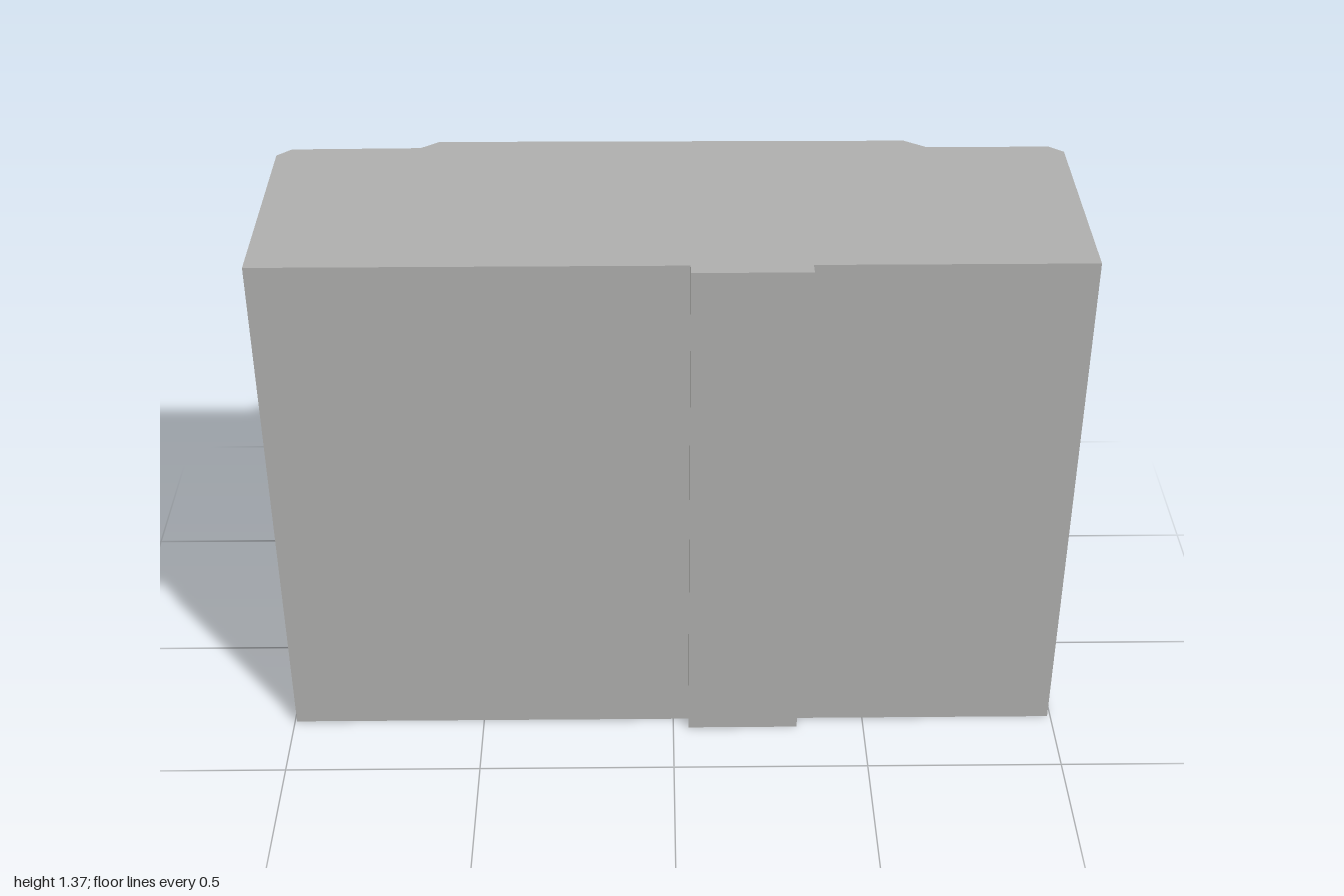
import * as THREE from 'three';

const HEIGHT = 1.37, GLASS_LOW = 0.13, GLASS_HIGH = 1.25, ROWS = 18, BAR = 0.006;

// Rear outline, from the +x flank round to the -x flank, as [x, z]
const REAR = [
  [0.995, -0.27], [0.96, -0.3], [0.65, -0.3], [0.595, -0.338],
  [-0.59, -0.343], [-0.635, -0.308], [-0.96, -0.304], [-0.995, -0.27],
];
// Front outline with the raised vertical pier
const FRONT = [
  [-0.995, 0.31], [0.04, 0.31], [0.04, 0.345], [0.325, 0.345], [0.325, 0.31], [0.992, 0.31],
];
// Window wall path and the number of bays on each straight run
const GLASS_PATH = [[0.994, -0.125], ...REAR, [-0.995, -0.125]];
const BAYS = [2, 1, 3, 1, 4, 1, 4, 1, 2];

export function createModel() {
  const model = new THREE.Group();
  model.name = 'building';

  const concrete = new THREE.MeshStandardMaterial({ color: 0xb0b0ae });
  concrete.name = 'concrete grey';
  const glass = new THREE.MeshStandardMaterial({ color: 0x4f4f4f });
  glass.name = 'dark glass';
  const frame = new THREE.MeshStandardMaterial({ color: 0x181818 });
  frame.name = 'black frame';

  // Solid block extruded upward from its plan
  const plan = new THREE.Shape([...FRONT, ...REAR].map(([x, z]) => new THREE.Vector2(x, -z)));
  const bodyGeometry = new THREE.ExtrudeGeometry(plan, { depth: HEIGHT, bevelEnabled: false });
  bodyGeometry.rotateX(-Math.PI / 2);
  const body = new THREE.Mesh(bodyGeometry, concrete);
  body.name = 'buildingBlock';
  model.add(body);

  // Window wall: one group per straight run, with local x along the wall
  const wall = new THREE.Group();
  wall.name = 'windowWall';
  model.add(wall);
  const addBox = (parent, name, material, w, h, d, x, y) => {
    const mesh = new THREE.Mesh(new THREE.BoxGeometry(w, h, d), material);
    mesh.name = name;
    mesh.position.set(x, y, 0);
    parent.add(mesh);
  };
  const glassHeight = GLASS_HIGH - GLASS_LOW;
  const middle = (GLASS_HIGH + GLASS_LOW) / 2;

  BAYS.forEach((bays, i) => {
    const [ax, az] = GLASS_PATH[i], [bx, bz] = GLASS_PATH[i + 1];
    const length = Math.hypot(bx - ax, bz - az);
    const run = new THREE.Group();
    run.name = 'windowRun';
    run.position.set((ax + bx) / 2, 0, (az + bz) / 2);
    run.rotation.y = Math.atan2(az - bz, bx - ax);
    wall.add(run);

    addBox(run, 'glassPane', glass, length, glassHeight, 0.006, 0, middle);
    // Floor lines
    for (let r = 0; r <= ROWS; r++) {
      addBox(run, 'floorLine', frame, length, BAR, 0.009, 0, GLASS_LOW + (glassHeight * r) / ROWS);
    }
    // Upright mullions
    for (let b = 0; b <= bays; b++) {
      addBox(run, 'mullion', frame, BAR * 0.7, glassHeight, 0.0085, length * (b / bays - 0.5), middle);
    }
  });

  return model;
}
